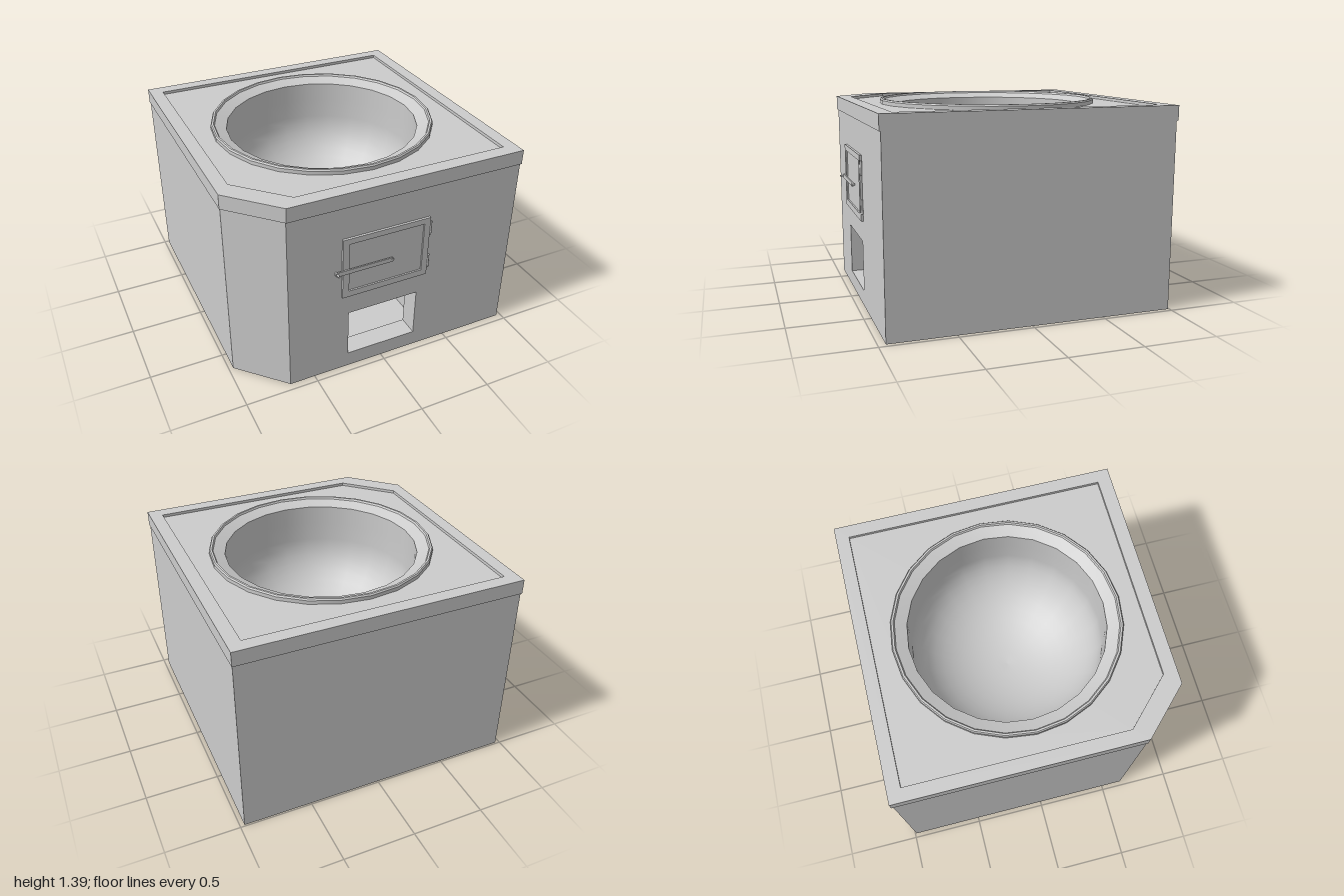
import * as THREE from 'three';
import { toCreasedNormals } from 'three/addons/utils/BufferGeometryUtils.js';

const material = new THREE.MeshStandardMaterial({ color: 0xcccccc, side: THREE.DoubleSide });
const V = (x, y) => new THREE.Vector2(x, y);

// Square plan with the front right corner cut off, as [x, z] points
const plan = (x, back, front, cutX, cutZ) =>
  [[-x, back], [x, back], [x, front], [cutX, front], [-x, cutZ]];
const planPoints = (p) => p.map(([x, z]) => V(x, -z));

const rectPoints = (x0, x1, y0, y1) => [V(x0, y0), V(x1, y0), V(x1, y1), V(x0, y1)];
const shapeOf = (points, ...holes) => {
  const shape = new THREE.Shape(points);
  holes.forEach((h) => shape.holes.push(new THREE.Path(h)));
  return shape;
};

export function createModel() {
  const root = new THREE.Group();
  root.name = 'brickStove';

  const add = (name, geometry, x = 0, y = 0, z = 0, parent = root) => {
    const mesh = new THREE.Mesh(geometry, material);
    mesh.name = name;
    mesh.position.set(x, y, z);
    parent.add(mesh);
    return mesh;
  };
  const box = (name, x0, x1, y0, y1, z0, z1, parent = root) =>
    add(name, new THREE.BoxGeometry(x1 - x0, y1 - y0, z1 - z0),
      (x0 + x1) / 2, (y0 + y1) / 2, (z0 + z1) / 2, parent);
  const extrude = (shape, depth, curveSegments = 12) =>
    new THREE.ExtrudeGeometry(shape, { depth, bevelEnabled: false, curveSegments });
  // Horizontal plate standing on y0
  const plate = (name, shape, y0, y1) =>
    add(name, extrude(shape, y1 - y0).rotateX(-Math.PI / 2), 0, y0, 0);

  // Body walls: a thin shell, open underneath
  const wallHeight = 1.28, front = 0.95;
  const opening = rectPoints(-0.255, 0.25, 0.11, 0.46);
  const walls = plan(0.97, -0.99, front, -0.675, 0.65);
  walls.forEach(([ax, az], i) => {
    const [bx, bz] = walls[(i + 1) % walls.length];
    if (az === front && bz === front) {
      add('frontWall', new THREE.ShapeGeometry(
        shapeOf(rectPoints(bx, ax, 0, wallHeight), opening)), 0, 0, front);
      return;
    }
    const wall = add('wall', new THREE.PlaneGeometry(Math.hypot(bx - ax, bz - az), wallHeight),
      (ax + bx) / 2, wallHeight / 2, (az + bz) / 2);
    // Outward side of each wall
    wall.rotation.y = Math.atan2(bz - az, -(bx - ax));
  });

  // Worktop: raised rim around a sunken surface with a round hole
  const inner = planPoints(plan(0.885, -0.91, 0.865, -0.585, 0.565));
  plate('worktopRim', shapeOf(
    planPoints(plan(0.975, -1, 0.96, -0.675, 0.655)), inner), 1.28, 1.38);
  const bowlZ = -0.02, sides = 24;
  const hole = Array.from({ length: sides }, (_, i) => {
    const a = (i / sides) * Math.PI * 2;
    return V(0.75 * Math.sin(a), -bowlZ + 0.75 * Math.cos(a));
  });
  plate('worktopSurface', shapeOf(inner, hole), 1.28, 1.36);

  // Cooking bowl: bead, sloping flange and deep round basin
  const ring = [V(0.765, 1.34), V(0.765, 1.385), V(0.758, 1.395), V(0.745, 1.395),
    V(0.738, 1.382), V(0.66, 1.35)];
  add('bowlRim', toCreasedNormals(new THREE.LatheGeometry(ring, sides), 0.5), 0, 0, bowlZ);
  const basin = [V(0.66, 1.35), V(0.66, 1.22)];
  for (let i = 0; i <= 12; i++) {
    const a = (i / 12) * Math.PI / 2;
    basin.push(V(0.66 * Math.cos(a), 1.08 - 0.48 * Math.sin(a)));
  }
  add('bowlBasin', new THREE.LatheGeometry(basin, sides), 0, 0, bowlZ);

  // Ash chamber behind the lower opening
  const ash = new THREE.Group();
  ash.name = 'ashChamber';
  root.add(ash);
  const chamberFront = 0.81, chamberBack = 0.21;
  const outline = rectPoints(-0.34, 0.34, 0.085, 0.48);
  // Open-ended rectangular duct between two depths
  const duct = (name, pts, z0, z1) => {
    pts.forEach((p, i) => {
      const q = pts[(i + 1) % pts.length];
      const side = add(name, new THREE.PlaneGeometry(p.distanceTo(q), z1 - z0).rotateX(Math.PI / 2),
        (p.x + q.x) / 2, (p.y + q.y) / 2, (z0 + z1) / 2, ash);
      side.rotation.z = Math.atan2(q.y - p.y, q.x - p.x);
    });
  };
  duct('openingSide', opening, chamberFront, front);
  duct('chamberSide', outline, chamberBack, chamberFront);
  add('chamberFront', new THREE.ShapeGeometry(shapeOf(outline, opening)), 0, 0, chamberFront, ash);
  add('chamberBack', new THREE.ShapeGeometry(shapeOf(outline)), 0, 0, chamberBack, ash);

  // Fire door: frame, sunken panel, hinges and latch
  const door = new THREE.Group();
  door.name = 'fireDoor';
  root.add(door);
  add('doorFrame', extrude(shapeOf(rectPoints(-0.31, 0.305, 0.61, 1.055),
    rectPoints(-0.265, 0.263, 0.655, 1.015)), 0.016), 0, 0, front, door);
  box('doorPanel', -0.265, 0.263, 0.655, 1.015, front - 0.005, front + 0.005, door);
  for (const y of [0.71, 0.97]) {
    box('hingeLeaf', 0.303, 0.312, y - 0.045, y + 0.045, front, front + 0.01, door);
    add('hingePin', new THREE.CylinderGeometry(0.008, 0.008, 0.1, 10), 0.314, y, front + 0.008, door);
  }

  // Latch bar with rounded ends
  const r = 0.015, latchY = 0.815;
  const bar = new THREE.Shape();
  bar.absarc(0.033, 0, r, -Math.PI / 2, Math.PI / 2, false);
  bar.absarc(-0.35, 0, r, Math.PI / 2, Math.PI * 1.5, false);
  add('latchBar', extrude(bar, 0.01, 8), 0, latchY, front + 0.016, door);
  const pin = (name, x, radius, z1) => add(name,
    new THREE.CylinderGeometry(radius, radius, z1 - front, 10).rotateX(Math.PI / 2),
    x, latchY, (front + z1) / 2, door);
  pin('latchPivot', 0.037, 0.007, 0.98);
  pin('latchKnob', -0.352, 0.007, 1.0);

  return root;
}
